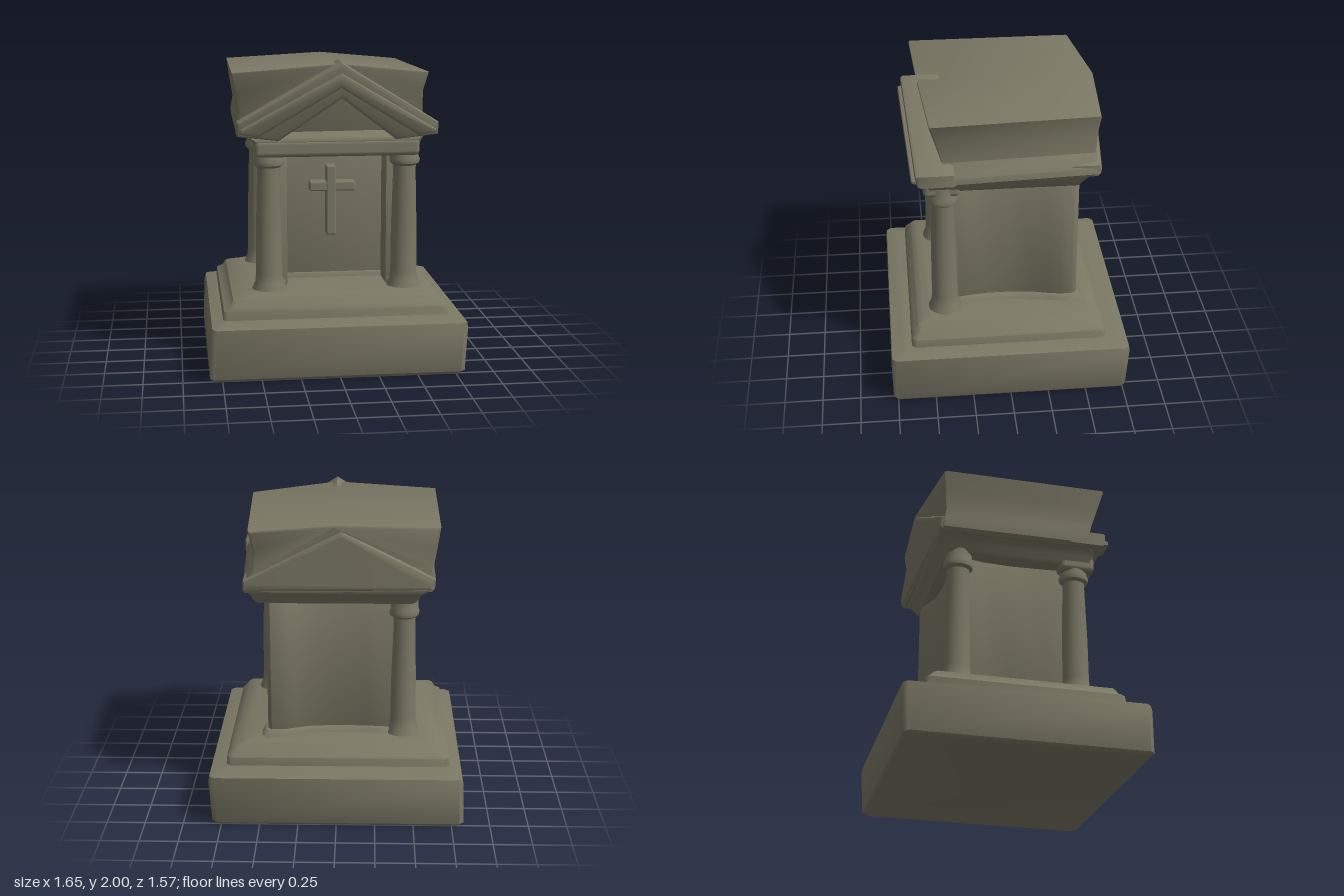
import * as THREE from 'three';
import { toCreasedNormals } from 'three/addons/utils/BufferGeometryUtils.js';
import { RoundedBoxGeometry } from 'three/addons/geometries/RoundedBoxGeometry.js';

const stone = new THREE.MeshStandardMaterial({ color: 0x7a7764 });
stone.name = 'weathered stone';

function add(parent, name, geometry, crease = 0.6) {
  const mesh = new THREE.Mesh(crease ? toCreasedNormals(geometry, crease) : geometry, stone);
  mesh.name = name;
  parent.add(mesh);
  return mesh;
}

// Rounded block given by its limits on each axis
function block(parent, name, [x0, x1], [y0, y1], [z0, z1], r = 0.02) {
  const mesh = add(parent, name, new RoundedBoxGeometry(x1 - x0, y1 - y0, z1 - z0, 2, r), 0);
  mesh.position.set((x0 + x1) / 2, (y0 + y1) / 2, (z0 + z1) / 2);
  return mesh;
}

// Stack of chamfered rectangles, each [y, x0, x1, z0, z1]
function stack(rings, c = 0.025) {
  const pos = [], index = [];
  for (const [y, a, b, d, e] of rings) {
    const ring = [[a + c, e], [b - c, e], [b, e - c], [b, d + c], [b - c, d], [a + c, d], [a, d + c], [a, e - c]];
    for (const [x, z] of ring) pos.push(x, y, z);
  }
  for (let r = 0; r < rings.length - 1; r++) {
    for (let i = 0; i < 8; i++) {
      const p = r * 8 + i, q = r * 8 + (i + 1) % 8;
      index.push(p, q, q + 8, p, q + 8, p + 8);
    }
  }
  const t = (rings.length - 1) * 8;
  for (let i = 1; i < 7; i++) index.push(0, i + 1, i, t, t + i, t + i + 1);
  const g = new THREE.BufferGeometry();
  g.setAttribute('position', new THREE.Float32BufferAttribute(pos, 3));
  g.setIndex(index);
  return g;
}

// Outline pushed from z0 to z1 with a small bevel, then bent by a rule
function extrude(points, z0, z1, bevel, bend) {
  const shape = new THREE.Shape(points.map(([x, y]) => new THREE.Vector2(x, y)));
  const g = new THREE.ExtrudeGeometry(shape, {
    depth: z1 - z0 - 2 * bevel, bevelEnabled: true, bevelThickness: bevel,
    bevelSize: bevel, bevelOffset: -bevel, bevelSegments: 2,
  });
  g.translate(0, 0, z0 + bevel);
  const p = g.attributes.position;
  for (let i = 0; i < p.count; i++) {
    p.setXYZ(i, ...bend(p.getX(i), p.getY(i), p.getZ(i)));
  }
  return g;
}

export function createModel() {
  const model = new THREE.Group();
  model.name = 'stoneShrine';

  // Plinth and moulded steps
  add(model, 'plinth', stack([
    [0, -0.81, 0.79, -0.75, 0.76], [0.02, -0.83, 0.81, -0.77, 0.78], [0.3, -0.82, 0.825, -0.785, 0.785],
    [0.34, -0.81, 0.82, -0.78, 0.78], [0.365, -0.74, 0.74, -0.69, 0.7],
  ], 0.03), 0.9);
  add(model, 'steps', stack([
    [0.33, -0.74, 0.72, -0.64, 0.65], [0.42, -0.73, 0.715, -0.635, 0.64], [0.445, -0.69, 0.69, -0.61, 0.62],
    [0.485, -0.67, 0.66, -0.57, 0.6], [0.5, -0.59, 0.6, -0.54, 0.56], [0.515, -0.54, 0.56, -0.5, 0.52],
  ]), 0.9);

  // Chamber plan in x and z: hollowed sides, one solid corner, a niche in front
  const plan = [
    [0.35, 0.36], [0.35, 0.15], [-0.3, 0.15], [-0.3, 0.34], [-0.41, 0.36], [-0.4, 0.2], [-0.39, 0],
    [-0.4, -0.2], [-0.43, -0.34], [-0.36, -0.41], [-0.2, -0.395], [0, -0.39], [0.18, -0.405], [0.28, -0.44],
    [0.34, -0.465], [0.43, -0.47], [0.455, -0.44], [0.455, -0.36], [0.44, -0.28], [0.42, -0.2],
    [0.4, -0.05], [0.4, 0.12], [0.415, 0.25], [0.435, 0.36],
  ];
  add(model, 'chamber', extrude(plan.map(([x, z]) => [x, -z]), 0.48, 1.47, 0.008, (x, y, z) => [x, z, -y]), 0.7);
  const spread = (x, y, z) => {
    const s = 1.03 + (0.55 - z) * 1.6;
    return [x * s, z, -y * s];
  };
  add(model, 'chamberFoot', extrude(plan.map(([x, z]) => [x, -z]), 0.48, 0.55, 0.008, spread), 0.9);

  // Columns on three corners
  const profile = [
    [0, 0.49], [0.115, 0.49], [0.11, 0.52], [0.092, 0.56], [0.086, 0.62], [0.084, 0.9], [0.073, 1.29],
    [0.075, 1.315], [0.095, 1.33], [0.1, 1.355], [0.09, 1.38], [0.09, 1.45], [0, 1.45],
  ].map(([r, y]) => new THREE.Vector2(r, y));
  for (const [name, x, z] of [['frontLeftColumn', 0.46, 0.41], ['frontRightColumn', -0.425, 0.41], ['backRightColumn', -0.43, -0.38]]) {
    add(model, name, new THREE.LatheGeometry(profile, 24), 0.7).position.set(x, 0, z);
  }

  // Cross on the niche wall
  const cross = new THREE.Group();
  cross.name = 'cross';
  block(cross, 'crossUpright', [-0.03, 0.035], [0.82, 1.285], [0.13, 0.24], 0.012);
  block(cross, 'crossArms', [-0.14, 0.165], [1.115, 1.18], [0.13, 0.238], 0.012);
  model.add(cross);

  // Lintel over the front columns, and the beam flaring out to the eaves
  block(model, 'lintel', [-0.52, 0.54], [1.39, 1.5], [0.3, 0.535], 0.03);
  add(model, 'beam', stack([
    [1.425, -0.5, 0.52, -0.47, 0.5], [1.45, -0.52, 0.54, -0.48, 0.52], [1.49, -0.53, 0.55, -0.52, 0.53],
    [1.515, -0.57, 0.57, -0.54, 0.52], [1.54, -0.6, 0.57, -0.54, 0.48],
  ]), 0.9);

  // Roof block with a low ridge: front leaning out, back narrower and slightly out of square
  const squeeze = (x, z) => [x > 0 ? x * 0.92 : x * 0.98, z + (x < 0 ? -x * 0.11 : x * 0.04)];
  const roofBend = (x, y, z) => {
    if (z > 0) return [x, y, z + (y - 1.93) * 0.3 - x * 0.06];
    const [bx, bz] = squeeze(x, z);
    const hollow = Math.max(0, 1 - Math.abs(y - 1.7) / 0.2) * 0.03;
    return [bx, y > 1.9 ? y + Math.abs(x) * 0.03 - 0.015 : y, bz + hollow];
  };
  add(model, 'roof', extrude([
    [-0.61, 1.52], [0.63, 1.52], [0.645, 1.54], [0.64, 1.58], [0.575, 1.66], [0.57, 1.8], [0.6, 1.92],
    [0.02, 1.985], [-0.66, 1.935], [-0.64, 1.8], [-0.62, 1.68], [-0.635, 1.6], [-0.63, 1.54],
  ], -0.6, 0.53, 0.015, roofBend), 0.6);

  // Open gable in front with a raised moulding
  const lean = (x, y, z) => [x, y, z + (y - 1.93) * 0.15];
  add(model, 'frontGable', extrude([
    [-0.63, 1.53], [-0.37, 1.5], [0.03, 1.77], [0.38, 1.5], [0.65, 1.53], [0.65, 1.61], [0.02, 2], [-0.63, 1.62],
  ], 0.38, 0.635, 0.025, lean), 0.5);
  add(model, 'frontGableMoulding', extrude([
    [-0.61, 1.55], [-0.5, 1.53], [0.02, 1.84], [0.52, 1.53], [0.63, 1.55], [0.63, 1.57], [0.02, 1.93], [-0.61, 1.58],
  ], 0.55, 0.665, 0.02, lean), 0.5);

  // Solid gable at the back
  add(model, 'backGable', extrude([
    [-0.62, 1.53], [0.64, 1.53], [0.64, 1.6], [-0.03, 1.93], [-0.63, 1.61],
  ], -0.61, -0.4, 0.025, (x, y, z) => {
    const [bx, bz] = squeeze(x, z);
    return [bx, y, bz];
  }), 0.5);

  return model;
}
